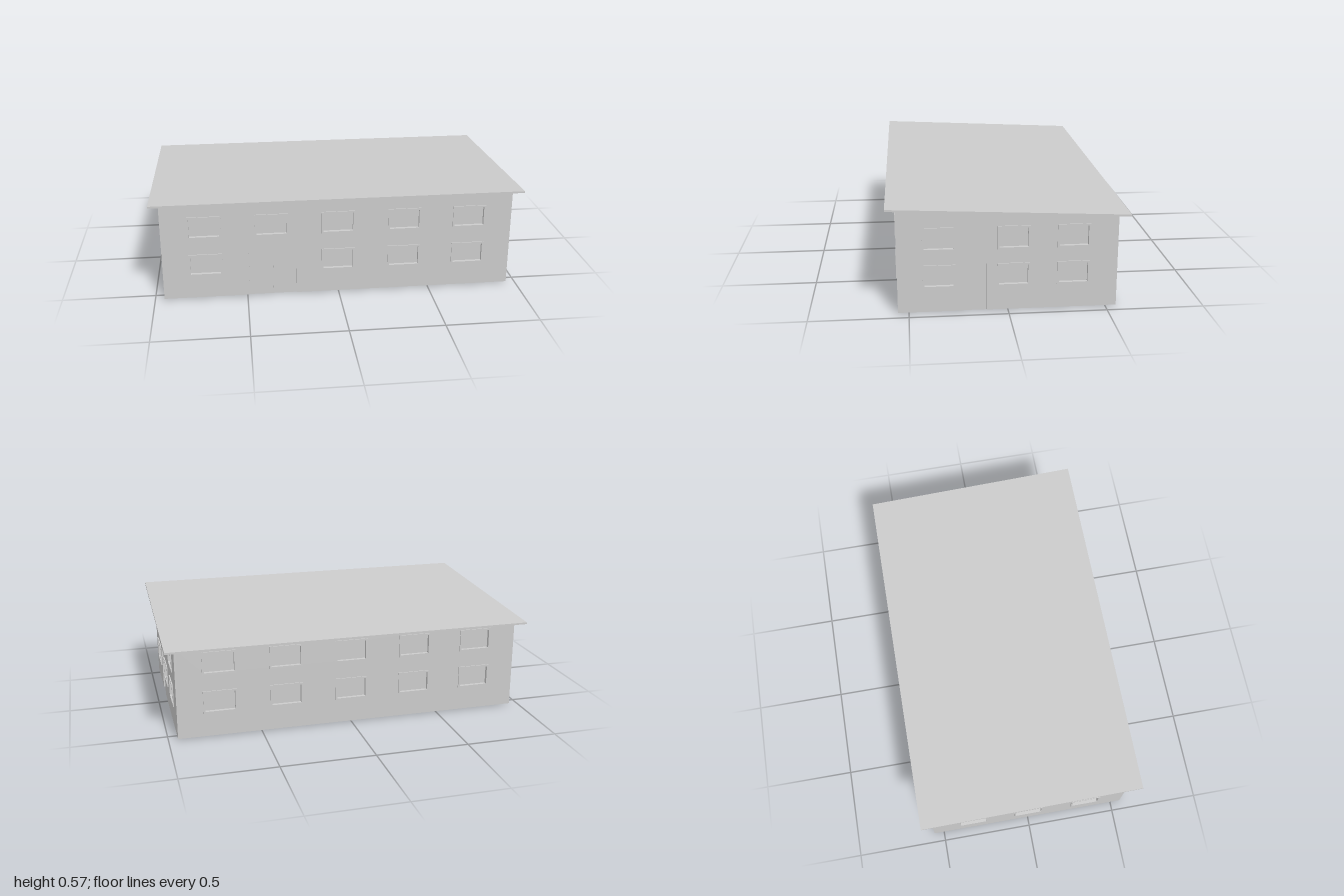
import * as THREE from 'three';

const HX = 0.95, HZ = 0.555, WALL = 0.015, LINING = 0.004, BASE = 0.005;
const ROWS = { long: [0.197, 0.413], short: [0.193, 0.389] };
const grey = new THREE.MeshStandardMaterial({ color: 0xcccccc, flatShading: true });

// Height of the underside of the sloping roof at depth z
const roofUnder = (z) => 0.525 + z * 0.0496;

const corners = (x, y, w, h) => [[-w, -h], [w, -h], [w, h], [-w, h]]
  .map(([a, b]) => new THREE.Vector2(x + a / 2, y + b / 2));

function mesh(name, geometry, parent, x = 0, y = 0, z = 0) {
  const m = new THREE.Mesh(geometry, grey);
  m.name = name;
  m.position.set(x, y, z);
  parent.add(m);
  return m;
}

// Flat ring or panel with openings, extruded along +z
function extrude(outline, holes, depth) {
  const shape = new THREE.Shape(outline);
  shape.holes = holes.map((h) => new THREE.Path(h));
  return new THREE.ExtrudeGeometry(shape, { depth, bevelEnabled: false });
}

// Raised frame round an opening, with the pane at the back of the recess
function addWindow(parent, { x, y, w, h }) {
  const g = new THREE.Group();
  g.name = 'window';
  g.position.set(x, y, 0);
  const frame = extrude(corners(0, 0, w, h), [corners(0, 0, w - 0.02, h - 0.02)], 0.006);
  mesh('windowFrame', frame, g);
  mesh('windowPane', new THREE.BoxGeometry(w - 0.02, h - 0.02, 0.002), g, 0, 0, 0.001 - WALL);
  parent.add(g);
}

// One outer wall, drawn facing +z and then turned into place
function addWall(parent, { name, angle, distance, half, topLeft, topRight, windows, door }) {
  const g = new THREE.Group();
  g.name = name;
  g.rotation.y = angle;
  g.position.set(Math.sin(angle) * distance, 0, Math.cos(angle) * distance);
  parent.add(g);

  // The outline steps round the doorway, which is open at the bottom
  const points = [[-half, BASE]];
  if (door) {
    const a = door.x - door.w / 2, b = door.x + door.w / 2;
    points.push([a, BASE], [a, door.h], [b, door.h], [b, BASE]);
  }
  points.push([half, BASE], [half, topRight], [-half, topLeft]);
  const outline = points.map(([x, y]) => new THREE.Vector2(x, y));
  const holes = windows.map(({ x, y, w, h }) => corners(x, y, w - 0.02, h - 0.02));
  mesh('wallPanel', extrude(outline, holes, WALL), g, 0, 0, -WALL);
  windows.forEach((w) => addWindow(g, w));

  // Recessed door leaves with a narrow gap between them
  if (door) {
    const step = door.w / door.leaves;
    for (let i = 0; i < door.leaves; i++) {
      const leaf = new THREE.BoxGeometry(step - (door.leaves > 1 ? 0.006 : 0), door.h - BASE, 0.006);
      mesh('doorLeaf', leaf, g, door.x - door.w / 2 + step * (i + 0.5), (door.h + BASE) / 2, 0.003 - WALL);
    }
  }
}

const grid = (xs, ys, w, h) => xs.flatMap((x) => ys.map((y) => ({ x, y, w, h })));

export function createModel() {
  const model = new THREE.Group();
  model.name = 'building';

  // Long walls: five columns, with a double door in place of one front window
  const columns = [-0.72, -0.363, -0.003, 0.358, 0.715];
  const long = grid(columns, ROWS.long, 0.18, 0.124);
  addWall(model, {
    name: 'frontWall', angle: 0, distance: HZ, half: HX - WALL,
    topLeft: roofUnder(HZ), topRight: roofUnder(HZ),
    windows: long.filter(({ x, y }) => x !== columns[1] || y > 0.3),
    door: { x: -0.36, w: 0.26, h: 0.26, leaves: 2 },
  });
  addWall(model, {
    name: 'backWall', angle: Math.PI, distance: HZ, half: HX - WALL,
    topLeft: roofUnder(-HZ), topRight: roofUnder(-HZ), windows: long,
  });

  // Short walls: three columns, with a single door on the left one
  addWall(model, {
    name: 'leftWall', angle: Math.PI / 2, distance: HX, half: HZ,
    topLeft: roofUnder(HZ), topRight: roofUnder(-HZ),
    windows: grid([-0.347, 0.027, 0.33], ROWS.short, 0.166, 0.122),
    door: { x: -0.168, w: 0.116, h: 0.255, leaves: 1 },
  });
  addWall(model, {
    name: 'rightWall', angle: -Math.PI / 2, distance: HX, half: HZ,
    topLeft: roofUnder(-HZ), topRight: roofUnder(HZ),
    windows: grid([-0.32, 0, 0.33], ROWS.short, 0.166, 0.122),
  });

  // Inner lining, open below, with a flat ceiling
  const lx = (HX - WALL) * 2, lz = (HZ - WALL) * 2;
  const ring = extrude(corners(0, 0, lx, lz), [corners(0, 0, lx - 2 * LINING, lz - 2 * LINING)], 0.48);
  mesh('innerLining', ring.rotateX(-Math.PI / 2), model);
  mesh('ceiling', new THREE.BoxGeometry(lx - 2 * LINING, 0.005, lz - 2 * LINING), model, 0, 0.4775, 0);

  // Single-pitch roof slab with overhang
  const roof = new THREE.BoxGeometry(2, 0.01, 1.21);
  const p = roof.attributes.position;
  for (let i = 0; i < p.count; i++) p.setY(i, p.getY(i) + 0.005 + roofUnder(p.getZ(i)));
  roof.computeVertexNormals();
  mesh('roof', roof, model);

  return model;
}
